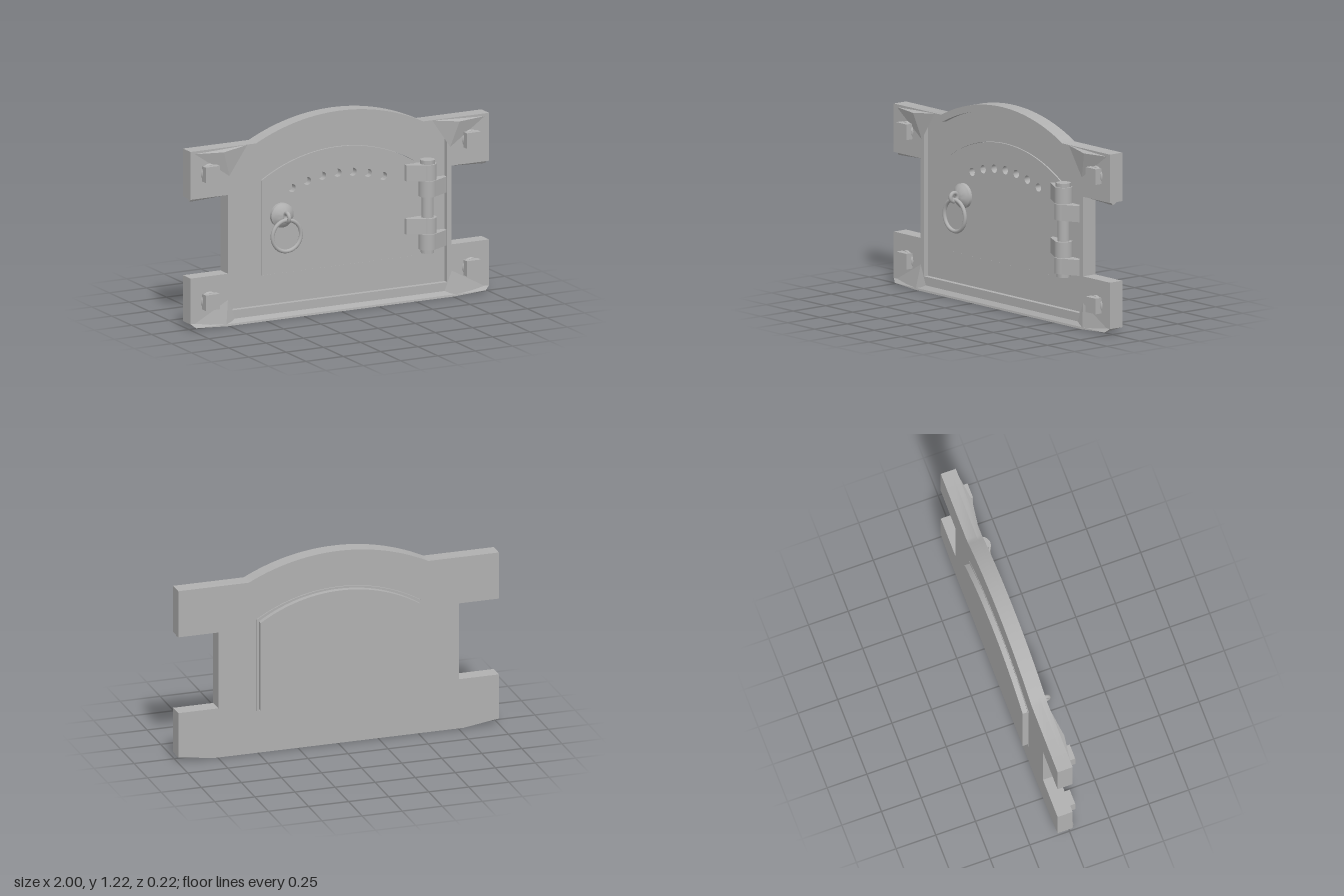
import * as THREE from 'three';
import { ConvexGeometry } from 'three/addons/geometries/ConvexGeometry.js';
import { toCreasedNormals } from 'three/addons/utils/BufferGeometryUtils.js';

const V = (x, y, z) => new THREE.Vector3(x, y, z);

// points of a circular arch from (+half, y) over to (-half, y)
function arch(half, y, rise, n = 28) {
  const r = (half * half + rise * rise) / (2 * rise);
  const a = Math.asin(half / r);
  const pts = [];
  for (let i = 0; i <= n; i++) {
    const t = a - (2 * a * i) / n;
    pts.push(new THREE.Vector2(r * Math.sin(t), y + rise - r + r * Math.cos(t)));
  }
  return pts;
}
const p2 = (list) => list.map(([x, y]) => new THREE.Vector2(x, y));

function frameOutline() {
  const right = [[0.75, 0.035], [1, 0.035], [1, 0.315], [0.75, 0.315], [0.75, 0.795], [1, 0.795], [1, 1.087]];
  const left = right.map(([x, y]) => [-x, y]).reverse();
  return [...p2(right), ...arch(0.56, 1.087, 0.133), ...p2(left)];
}
const recessOutline = () => [...p2([[-0.72, 0.088], [0.72, 0.088], [0.72, 1.04]]),
  ...arch(0.55, 1.045, 0.135), ...p2([[-0.72, 1.04]])];
const doorOutline = (inset = 0) => [...p2([[-0.512 + inset, 0.268 + inset], [0.512 - inset, 0.268 + inset]]),
  ...arch(0.512 - inset, 0.85 - inset, 0.146)];

// extrude an outline between two depths, with optional holes
function slab(points, z0, z1, holes = []) {
  const shape = new THREE.Shape(points);
  holes.forEach((h) => shape.holes.push(new THREE.Path(h)));
  const g = new THREE.ExtrudeGeometry(shape, { depth: z1 - z0, bevelEnabled: false });
  g.translate(0, 0, z0);
  return toCreasedNormals(g, 0.5);
}

export function createModel() {
  const root = new THREE.Group();
  root.name = 'stoveDoor';
  const iron = new THREE.MeshStandardMaterial({ color: 0xb0b0b0 });
  iron.name = 'grey iron';
  const add = (geo, name, x = 0, y = 0, z = 0, parent = root) => {
    const m = new THREE.Mesh(geo, iron);
    m.name = name;
    m.position.set(x, y, z);
    parent.add(m);
    return m;
  };
  const floorZ = -0.012, doorZ = -0.006, frontZ = 0.02, backZ = -0.075;

  // frame: raised rim in front of a recessed plate with the door opening
  add(slab(frameOutline(), floorZ, frontZ, [recessOutline()]), 'frameRim');
  add(slab(frameOutline(), backZ, floorZ, [doorOutline()]), 'framePlate');

  // tapered lip along the bottom edge
  add(new ConvexGeometry([1, -1].flatMap((s) => [
    V(s, 0.036, frontZ), V(s, 0.036, backZ),
    V(s * 0.97, 0.012, 0.036), V(s * 0.76, 0, 0.038), V(s * 0.78, 0.004, backZ),
  ])), 'bottomLip');

  for (const s of [1, -1]) {
    // corner gussets on the mounting tabs
    add(new ConvexGeometry([V(s * 0.97, 1.07, frontZ), V(s * 0.74, 0.91, frontZ),
      V(s * 0.79, 1.065, 0.045), V(s * 0.62, 1.085, frontZ)]), 'upperGusset');
    add(new ConvexGeometry([V(s * 0.98, 0.03, frontZ), V(s * 0.75, 0.155, frontZ),
      V(s * 0.77, 0.012, 0.04), V(s * 0.7, 0.03, frontZ)]), 'lowerGusset');
    // thin ledge under each upper tab
    add(new ConvexGeometry([V(s * 0.99, 0.797, 0.005), V(s * 0.99, 0.797, -0.05), V(s * 0.75, 0.797, 0.005),
      V(s * 0.75, 0.797, -0.05), V(s * 0.99, 0.775, -0.01), V(s * 0.75, 0.787, -0.01)]), 'tabLedge');

    // square-headed bolts on round washers
    for (const y of [0.945, 0.165]) {
      const bolt = new THREE.Group();
      bolt.name = 'bolt';
      bolt.position.set(s * 0.875, y, frontZ);
      root.add(bolt);
      add(new THREE.BoxGeometry(0.094, 0.094, 0.046), 'boltHead', 0, 0, 0.022, bolt);
      add(new THREE.CylinderGeometry(0.05, 0.058, 0.012, 20).rotateX(Math.PI / 2), 'washer', 0, 0, 0.004, bolt);
    }
  }

  // door: solid back, front skin pierced by an arc of vent holes
  const vents = [];
  for (let i = -3; i <= 3; i++) {
    const c = new THREE.Path().absarc(i * 0.102, 0.835 - 0.0063 * i * i, 0.025, 0, Math.PI * 2, true);
    vents.push(c.getPoints(8));
  }
  add(slab(doorOutline(0.002), -0.05, doorZ, vents), 'doorFront');
  add(slab(doorOutline(0.002), -0.078, -0.05), 'doorCore');
  add(slab(doorOutline(0.014), -0.11, -0.078), 'doorBack');

  // hinge: pin, caps and alternating knuckles with tapering leaves
  const hinge = new THREE.Group();
  hinge.name = 'hinge';
  hinge.position.set(0.582, 0, 0.03);
  root.add(hinge);
  const rod = (r, y0, y1, name, sides = 24) =>
    add(new THREE.CylinderGeometry(r, r, y1 - y0, sides), name, 0, (y0 + y1) / 2, 0, hinge);
  rod(0.036, 0.3, 0.84, 'hingePin');
  rod(0.046, 0.83, 0.856, 'hingeTopCap', 8);
  rod(0.042, 0.288, 0.315, 'hingeBottomCap', 8);
  const knuckle = (y0, y1, side) => {
    rod(0.054, y0, y1, 'hingeKnuckle');
    const h = (y1 - y0) / 2, z0 = -0.045;
    const pts = [];
    for (const y of [-h, h]) {
      pts.push(V(0, y, z0), V(0, y, 0.052), V(side * 0.03, y, 0.044), V(side * 0.05, y, 0.02),
        V(side * 0.135, y, -0.012), V(side * 0.135, y, z0));
    }
    add(new ConvexGeometry(pts), 'hingeLeaf', 0, (y0 + y1) / 2, 0, hinge);
  };
  knuckle(0.735, 0.832, -1);
  knuckle(0.635, 0.732, 1);
  knuckle(0.41, 0.505, -1);
  knuckle(0.312, 0.407, 1);

  // handle: turned boss, eye loop and hanging ring
  const handle = new THREE.Group();
  handle.name = 'handle';
  handle.position.set(-0.38, 0.625, 0);
  root.add(handle);
  const profile = [[0, -0.01], [0.074, -0.01], [0.074, 0.014], [0.06, 0.026], [0.036, 0.042], [0, 0.046]]
    .map(([r, y]) => new THREE.Vector2(r, y));
  add(toCreasedNormals(new THREE.LatheGeometry(profile, 28).rotateX(Math.PI / 2), 0.5), 'handleBoss', 0, 0, 0, handle);
  add(new THREE.TorusGeometry(0.026, 0.012, 10, 24).rotateY(Math.PI / 2), 'handleEye', 0, 0, 0.072, handle);
  add(new THREE.TorusGeometry(0.095, 0.012, 10, 40), 'handleRing', 0, -0.112, 0.066, handle);

  return root;
}
